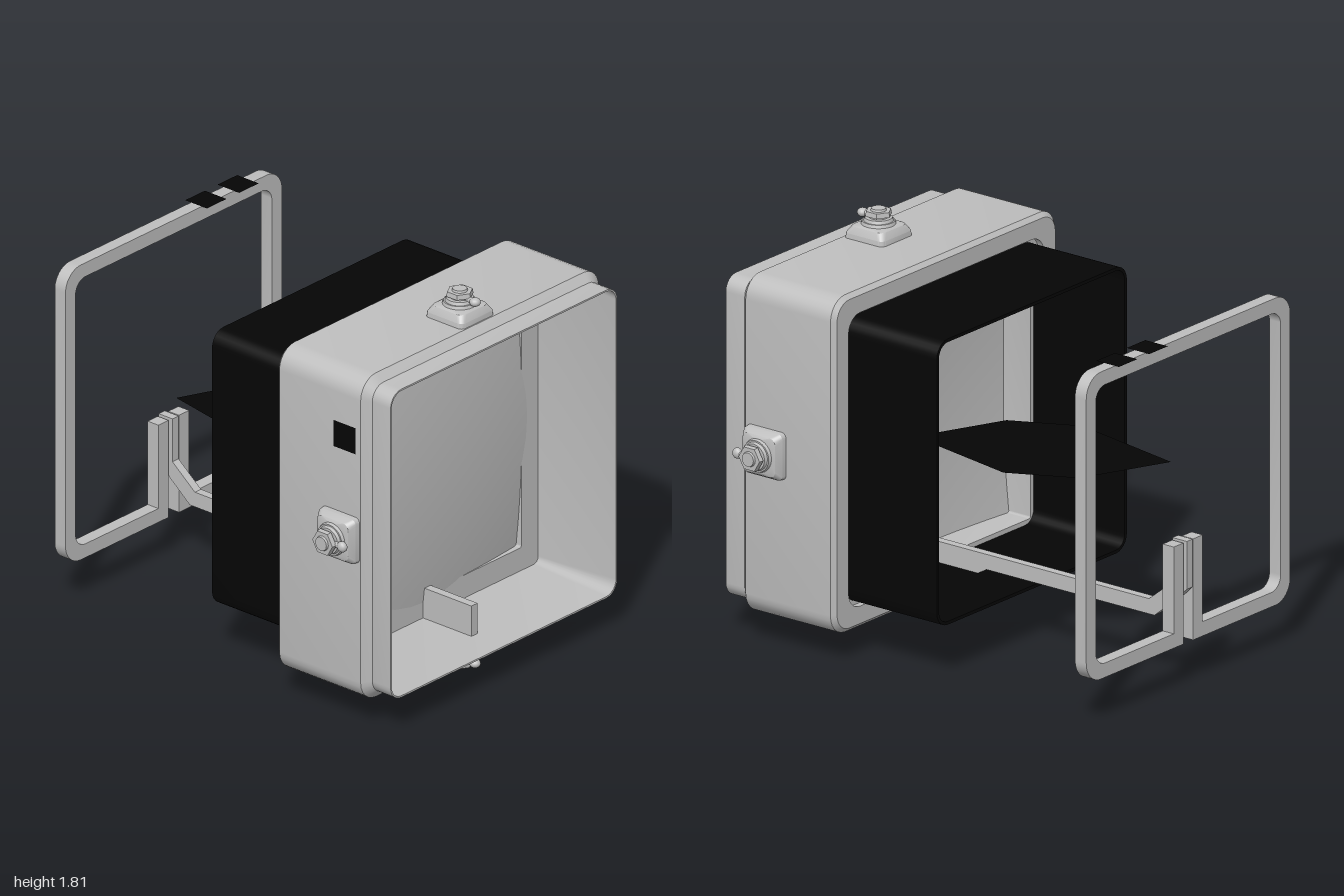
import * as THREE from 'three';
import { toCreasedNormals } from 'three/addons/utils/BufferGeometryUtils.js';

const CY = 0.905; // height of the optical axis

const grey = new THREE.MeshStandardMaterial({ color: 0xbebebe });
grey.name = 'light grey';
const greySheet = new THREE.MeshStandardMaterial({ color: 0xbebebe, side: THREE.DoubleSide });
greySheet.name = 'light grey sheet';
const black = new THREE.MeshStandardMaterial({ color: 0x050505, side: THREE.DoubleSide });
black.name = 'black';

function add(parent, name, geometry, material) {
  const mesh = new THREE.Mesh(geometry, material);
  mesh.name = name;
  parent.add(mesh);
  return mesh;
}

// Rounded square outline, counter-clockwise
function outline(half, radius, steps = 6) {
  const pts = [];
  for (let q = 0; q < 4; q++) {
    const mid = Math.PI / 4 + q * Math.PI / 2;
    const c = (half - radius) * Math.SQRT2;
    for (let i = 0; i <= steps; i++) {
      const a = q * Math.PI / 2 + (i / steps) * Math.PI / 2;
      pts.push([c * Math.cos(mid) + radius * Math.cos(a), c * Math.sin(mid) + radius * Math.sin(a)]);
    }
  }
  return pts;
}

// Skin over rounded squares given as [half size, corner radius, z]
function loft(sections) {
  const rings = sections.map(([h, r, z]) => outline(h, r).map(([x, y]) => [x, y, z]));
  const n = rings[0].length;
  const pos = [];
  for (let j = 0; j < rings.length - 1; j++) {
    for (let i = 0; i < n; i++) {
      const k = (i + 1) % n;
      const a = rings[j][i], b = rings[j][k], c = rings[j + 1][k], d = rings[j + 1][i];
      pos.push(...a, ...b, ...c, ...a, ...c, ...d);
    }
  }
  const g = new THREE.BufferGeometry();
  g.setAttribute('position', new THREE.Float32BufferAttribute(pos, 3));
  return toCreasedNormals(g, 0.5);
}

// Clamp: square foot, stacked collars, hexagonal nut and a small lever
function makeClamp() {
  const clamp = new THREE.Group();
  clamp.name = 'clamp';
  const foot = loft([
    [0.11, 0.025, -0.01], [0.107, 0.025, 0.025], [0.09, 0.03, 0.055], [0.078, 0.05, 0.062], [0.001, 0.0005, 0.062],
  ]);
  foot.rotateX(-Math.PI / 2);
  add(clamp, 'clampFoot', foot, grey);
  const stack = [
    ['lowerCollar', 0.078, 0.072, 0.058, 0.076, 24],
    ['upperCollar', 0.066, 0.06, 0.074, 0.09, 24],
    ['neck', 0.042, 0.042, 0.088, 0.106, 24],
    ['nut', 0.062, 0.058, 0.1, 0.122, 6],
    ['bolt', 0.036, 0.032, 0.118, 0.132, 16],
  ];
  for (const [name, r0, r1, y0, y1, sides] of stack) {
    const g = new THREE.CylinderGeometry(r1, r0, y1 - y0, sides);
    g.translate(0, (y0 + y1) / 2, 0);
    add(clamp, name, toCreasedNormals(g, 0.6), grey);
  }
  const rod = new THREE.CylinderGeometry(0.014, 0.014, 0.09, 10);
  rod.rotateX(Math.PI / 2);
  add(clamp, 'leverRod', rod, grey).position.set(0, 0.092, 0.045);
  const ball = new THREE.SphereGeometry(0.025, 14, 10);
  ball.scale(1, 0.8, 1);
  add(clamp, 'leverKnob', ball, grey).position.set(0, 0.092, 0.088);
  return clamp;
}

// Rear sight frame, split at the bottom where two posts rise
function makeSightFrame() {
  const s = new THREE.Shape();
  const [w, b, t, r, k] = [0.705, 0.2, 1.612, 0.1, 0.066];
  const [iw, ib, it, ir] = [w - k, b + k, t - k, r - 0.035];
  const [gap, post, postTop] = [0.034, 0.1, 0.665];
  s.moveTo(gap, b);
  s.lineTo(w - r, b);
  s.absarc(w - r, b + r, r, -Math.PI / 2, 0, false);
  s.absarc(w - r, t - r, r, 0, Math.PI / 2, false);
  s.absarc(-w + r, t - r, r, Math.PI / 2, Math.PI, false);
  s.absarc(-w + r, b + r, r, Math.PI, Math.PI * 1.5, false);
  s.lineTo(-gap, b);
  s.lineTo(-gap, postTop);
  s.lineTo(-post, postTop);
  s.lineTo(-post, ib);
  s.absarc(-iw + ir, ib + ir, ir, Math.PI * 1.5, Math.PI, true);
  s.absarc(-iw + ir, it - ir, ir, Math.PI, Math.PI / 2, true);
  s.absarc(iw - ir, it - ir, ir, Math.PI / 2, 0, true);
  s.absarc(iw - ir, ib + ir, ir, 0, -Math.PI / 2, true);
  s.lineTo(post, ib);
  s.lineTo(post, postTop);
  s.lineTo(gap, postTop);
  s.closePath();
  const g = new THREE.ExtrudeGeometry(s, { depth: 0.062, bevelEnabled: false, curveSegments: 6 });
  g.translate(0, 0, -0.972);
  return toCreasedNormals(g, 0.5);
}

export function createModel() {
  const model = new THREE.Group();
  model.name = 'hoodedViewer';

  // Hood: outer shell, stepped front lip, inner flange and rear groove as one closed skin
  add(model, 'hood', loft([
    [0.62, 0.01, 0.4], [0.675, 0.08, 0.4], [0.675, 0.08, 0.37], [0.755, 0.085, 0.37], [0.775, 0.1, 0.39],
    [0.775, 0.1, 0.86], [0.738, 0.07, 0.895], [0.738, 0.07, 1.0], [0.73, 0.062, 1.0], [0.73, 0.03, 0.55],
    [0.62, 0.01, 0.55], [0.62, 0.01, 0.4],
  ]), grey).position.y = CY;

  // Domed screen bulging through the flange
  const screen = new THREE.PlaneGeometry(1.4, 1.4, 14, 14);
  const p = screen.attributes.position;
  for (let i = 0; i < p.count; i++) {
    const u = p.getX(i) / 0.7, v = p.getY(i) / 0.7;
    p.setZ(i, 0.59 - 0.045 * (u * u + v * v));
  }
  screen.computeVertexNormals();
  add(model, 'screen', screen, greySheet).position.y = CY;

  // Black rear sleeve, open at both ends
  add(model, 'sleeve', loft([
    [0.642, 0.06, -0.105], [0.657, 0.075, -0.105], [0.657, 0.075, 0.405], [0.642, 0.06, 0.405], [0.642, 0.06, -0.105],
  ]), black).position.y = CY;

  // Flat black shutter, point-symmetric six-sided sheet
  const corners = [[-0.22, -0.7], [0.19, -0.52], [0.34, -0.22]];
  const all = [...corners, ...corners.map(([x, z]) => [-x, -0.332 - z])];
  const sheet = new THREE.ShapeGeometry(new THREE.Shape(all.map(([x, z]) => new THREE.Vector2(x, -z))));
  sheet.rotateX(-Math.PI / 2);
  add(model, 'shutterSheet', sheet, black).position.y = CY;

  // Support arm, side profile in (z, y)
  const profile = [
    [0.83, 0.16], [0.83, 0.32], [0.55, 0.32], [0.55, 0.36], [-0.77, 0.36], [-0.9, 0.465], [-0.9, 0.67],
    [-0.98, 0.67], [-0.98, 0.45], [-0.91, 0.38], [-0.8, 0.29], [0.13, 0.29], [0.2, 0.25], [0.37, 0.145],
  ];
  const arm = new THREE.ExtrudeGeometry(
    new THREE.Shape(profile.map(([z, y]) => new THREE.Vector2(z, y))), { depth: 0.04, bevelEnabled: false });
  arm.translate(0, 0, -0.02);
  arm.rotateY(-Math.PI / 2);
  add(model, 'supportArm', arm, grey);

  add(model, 'sightFrame', makeSightFrame(), grey);

  // Black marker tabs on the sight frame and the hood side
  for (const x of [0.24, 0.45]) {
    const tab = new THREE.PlaneGeometry(0.128, 0.125);
    tab.rotateX(-Math.PI / 2);
    add(model, 'markerTab', tab, black).position.set(x, 1.616, -0.9375);
  }
  const sideTab = new THREE.PlaneGeometry(0.128, 0.125);
  sideTab.rotateY(-Math.PI / 2);
  add(model, 'sideMarkerTab', sideTab, black).position.set(-0.779, 1.38, 0.77);

  // Four clamps around the hood
  for (let i = 0; i < 4; i++) {
    const a = i * Math.PI / 2;
    const clamp = makeClamp();
    clamp.rotation.z = -a;
    clamp.position.set(Math.sin(a) * 0.773, CY + Math.cos(a) * 0.773, 0.745);
    model.add(clamp);
  }
  return model;
}
